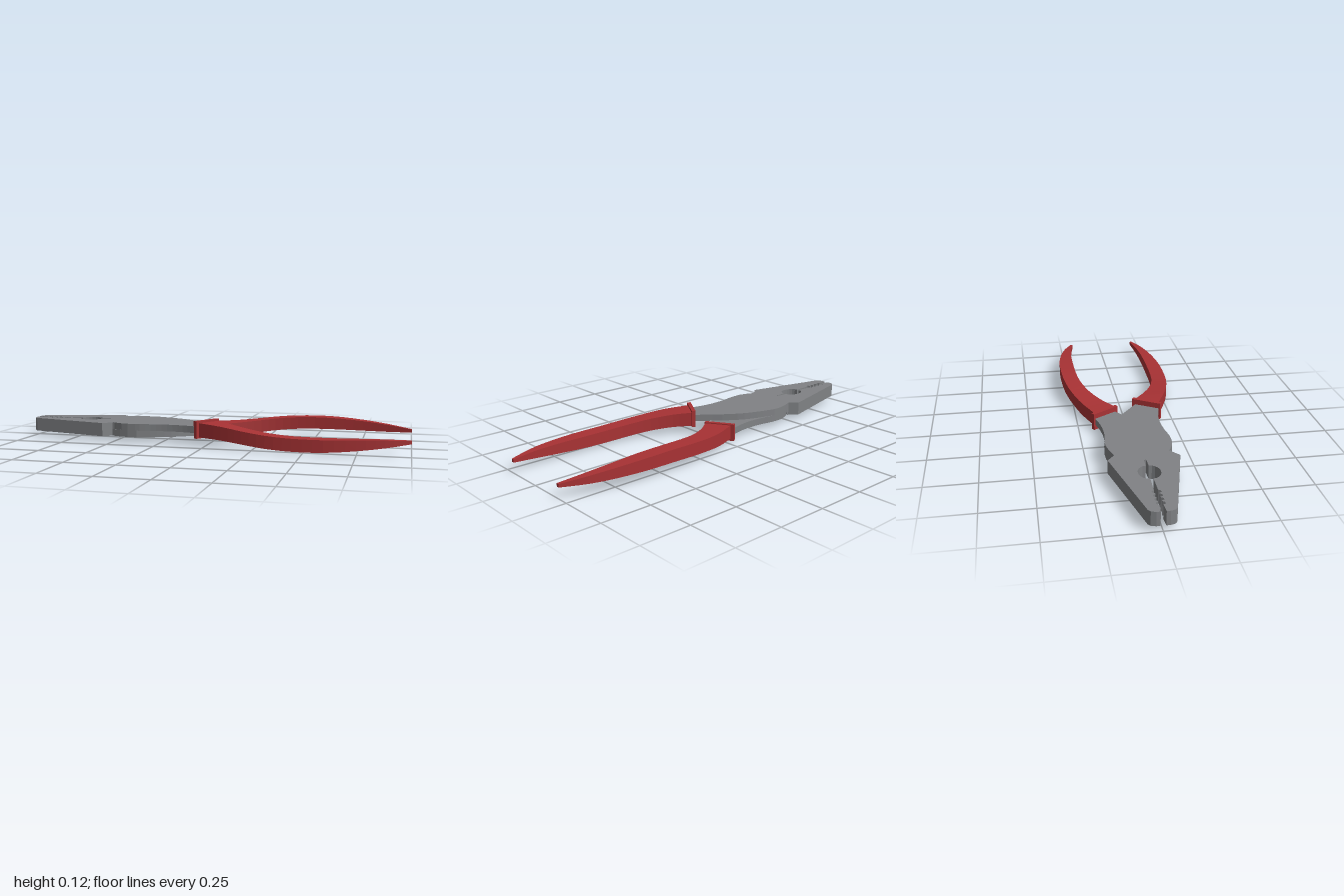
import * as THREE from 'three';

const MID = 0.0625; // height of the joint plane between the two halves
const LAYER = 0.0345; // thickness of one steel layer

// Flat plate from an outline of [x, z] points, between y0 and y0 + height
function plate(points, y0, height) {
  const shape = new THREE.Shape(points.map(([x, z]) => new THREE.Vector2(x, -z)));
  const geo = new THREE.ExtrudeGeometry(shape, { depth: height, bevelEnabled: false });
  return geo.rotateX(-Math.PI / 2).translate(0, y0, 0);
}

// Smooth run through a few [x, z] points
function smooth(points, n) {
  const curve = new THREE.CatmullRomCurve3(points.map(([x, z]) => new THREE.Vector3(x, 0, z)));
  return curve.getPoints(n).map((p) => [p.x, p.z]);
}

// Gripping edge of the jaw on the -z side: tip, teeth, round pipe grip, cutter
function gripEdge() {
  const edge = [[-1, -0.012], [-0.955, -0.009]];
  for (let i = 0; i < 4; i++) {
    const x = -0.95 + i * 0.03;
    edge.push([x, -0.009], [x + 0.007, -0.02], [x + 0.018, -0.02], [x + 0.025, -0.009]);
  }
  for (let i = 0; i <= 10; i++) {
    const a = Math.PI * (1 - i / 10);
    edge.push([-0.685 + 0.057 * Math.cos(a), -0.007 - 0.045 * Math.sin(a)]);
  }
  edge.push([-0.575, -0.005]);
  return edge;
}

// Loft of rectangular sections along the grip; section = 4 corners
function gripGeometry() {
  const outer = new THREE.CatmullRomCurve3([
    [-0.035, 0.078, 0.165], [0.09, 0.073, 0.218], [0.2, 0.062, 0.255], [0.32, 0.05, 0.283],
    [0.45, 0.043, 0.295], [0.6, 0.043, 0.295], [0.75, 0.049, 0.275], [0.88, 0.056, 0.243], [1, 0.0625, 0.197],
  ].map((p) => new THREE.Vector3(...p)));
  const inner = new THREE.CatmullRomCurve3([
    [0.037, 0.078, 0.053], [0.115, 0.073, 0.11], [0.22, 0.062, 0.165], [0.33, 0.05, 0.2],
    [0.45, 0.043, 0.215], [0.6, 0.043, 0.218], [0.75, 0.049, 0.215], [0.88, 0.056, 0.203], [1, 0.0625, 0.183],
  ].map((p) => new THREE.Vector3(...p)));
  const half = new THREE.CatmullRomCurve3(
    [0.036, 0.034, 0.032, 0.0315, 0.031, 0.0295, 0.025, 0.018, 0.008].map((h, i) => new THREE.Vector3(i, h, 0)));
  const n = 24, pos = [], idx = [];
  for (let i = 0; i <= n; i++) {
    const t = i / n, o = outer.getPoint(t), k = inner.getPoint(t), h = half.getPoint(t).y;
    pos.push(o.x, o.y + h, o.z, k.x, k.y + h, k.z, k.x, k.y - h, k.z, o.x, o.y - h, o.z);
  }
  for (let i = 0; i < n; i++) {
    for (let j = 0; j < 4; j++) {
      const a = i * 4 + j, b = i * 4 + (j + 1) % 4;
      idx.push(a, a + 4, b, b, a + 4, b + 4);
    }
  }
  const e = n * 4;
  idx.push(0, 1, 2, 0, 2, 3, e, e + 2, e + 1, e, e + 3, e + 2);
  const geo = new THREE.BufferGeometry();
  geo.setAttribute('position', new THREE.Float32BufferAttribute(pos, 3));
  geo.setIndex(idx);
  const flat = geo.toNonIndexed();
  flat.computeVertexNormals();
  return flat;
}

export function createModel() {
  const steel = new THREE.MeshStandardMaterial({ color: 0x808285 });
  steel.name = 'steel grey';
  const red = new THREE.MeshStandardMaterial({ color: 0xa83234 });
  red.name = 'grip red';

  const grip = gripEdge();
  const jawBack = [[-0.555, -0.168], [-0.98, -0.062], [-0.993, -0.052], [-1, -0.03]];

  // Upper layer: jaw, round joint, and arm crossing over to the grip
  const arm = [
    ...grip,
    ...smooth([[-0.574, 0.02], [-0.555, 0.07], [-0.515, 0.12], [-0.455, 0.15]], 10),
    ...smooth([[-0.42, 0.158], [-0.36, 0.158], [-0.28, 0.145], [-0.2, 0.141], [-0.12, 0.149], [-0.045, 0.168]], 14),
    [0.02, 0.06], [-0.06, -0.003],
    ...smooth([[-0.1, -0.036], [-0.19, -0.095], [-0.28, -0.132], [-0.37, -0.159]], 8),
    [-0.42, -0.158], [-0.465, -0.148], [-0.513, -0.132],
    ...jawBack,
  ];
  // Lower layer: jaw only, hollowed by the other half's round joint
  const jaw = [
    ...grip,
    ...smooth([[-0.574, -0.02], [-0.555, -0.07], [-0.515, -0.12], [-0.5, -0.134]], 8),
    [-0.513, -0.132],
    ...jawBack,
  ];

  const armGeo = plate(arm, MID, LAYER);
  const jawGeo = plate(jaw, MID - LAYER, LAYER);
  const gripGeo = gripGeometry();
  const collarGeo = new THREE.BoxGeometry(0.02, 0.088, 0.156);

  // Both halves are the same part, turned over about the long axis
  const model = new THREE.Group();
  model.name = 'pliers';
  for (const side of ['left', 'right']) {
    const half = new THREE.Group();
    half.name = side + 'Half';
    const add = (geo, mat, name) => {
      const mesh = new THREE.Mesh(geo, mat);
      mesh.name = name;
      half.add(mesh);
      return mesh;
    };
    add(armGeo, steel, 'jointAndArm');
    add(jawGeo, steel, 'jaw');
    add(gripGeo, red, 'grip');
    const collar = add(collarGeo, red, 'gripCollar');
    collar.position.set(-0.011, 0.0805, 0.11);
    collar.rotation.y = -Math.atan2(0.08, 0.13);
    if (side === 'right') {
      half.rotation.x = Math.PI;
      half.position.y = 2 * MID;
    }
    model.add(half);
  }
  return model;
}
